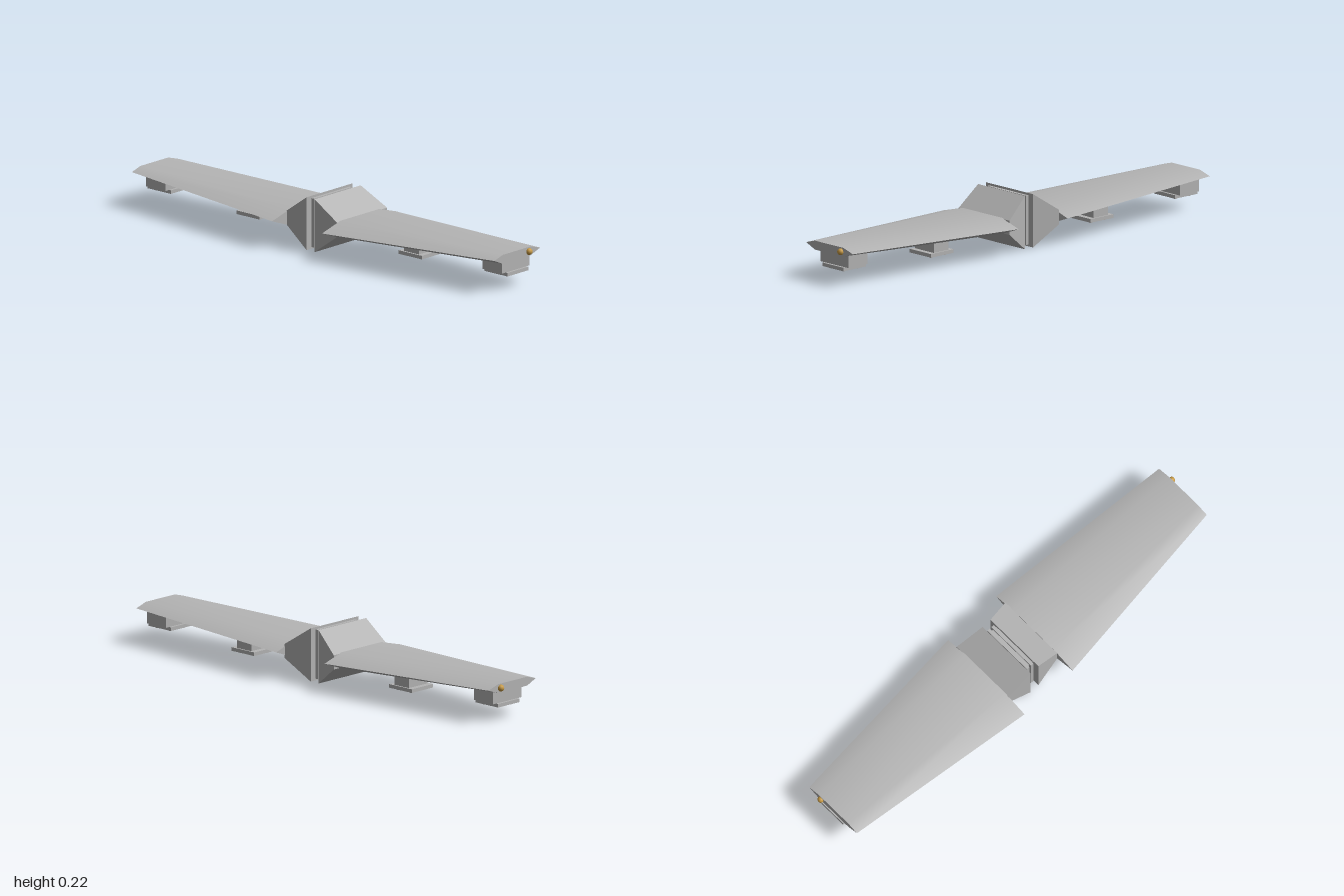
import * as THREE from 'three';
import { mergeGeometries } from 'three/addons/utils/BufferGeometryUtils.js';

// Surface between two rows of [y, z] points at xa and xb; smooth shares normals along the row.
function strip(a, xa, b, xb, smooth) {
  const flip = xa < 0, pos = [], idx = [], n = a.length;
  for (const [y, z] of a) pos.push(xa, y, z);
  for (const [y, z] of b) pos.push(xb, y, z);
  for (let i = 0; i < n - 1; i++) {
    const tris = [[i, i + 1, n + i + 1], [i, n + i + 1, n + i]];
    for (const [p, q, r] of tris) idx.push(p, ...(flip ? [r, q] : [q, r]));
  }
  const g = new THREE.BufferGeometry();
  g.setAttribute('position', new THREE.Float32BufferAttribute(pos, 3));
  g.setIndex(idx);
  const out = smooth ? g : g.toNonIndexed();
  out.computeVertexNormals();
  return smooth ? out.toNonIndexed() : out;
}

// Flat end of a ring; outward means facing away from the centre line.
function cap(ring, x, outward) {
  const pos = [];
  for (let i = 1; i < ring.length - 1; i++) {
    const tri = [ring[0], ring[i], ring[i + 1]];
    if (outward !== x > 0) tri.reverse();
    for (const [y, z] of tri) pos.push(x, y, z);
  }
  const g = new THREE.BufferGeometry();
  g.setAttribute('position', new THREE.Float32BufferAttribute(pos, 3));
  g.computeVertexNormals();
  return g;
}

export function createModel() {
  const model = new THREE.Group();
  model.name = 'wingAssembly';
  const grey = new THREE.MeshStandardMaterial({ color: 0xb4b4b4 });
  grey.name = 'hull grey';
  const gold = new THREE.MeshStandardMaterial({ color: 0xc89b45 });
  gold.name = 'lamp gold';

  function add(parent, name, geometry, material = grey) {
    const m = new THREE.Mesh(geometry, material);
    m.name = name;
    parent.add(m);
    return m;
  }
  function box(parent, name, x0, x1, y0, y1, z0, z1) {
    add(parent, name, new THREE.BoxGeometry(x1 - x0, y1 - y0, z1 - z0))
      .position.set((x0 + x1) / 2, (y0 + y1) / 2, (z0 + z1) / 2);
  }

  // Rings run from the trailing edge over the top to the leading edge, then back below.
  const root = [[0.12, -0.222], [0.15, -0.125], [0.15, 0.11], [0.12, 0.222], [0.088, 0.137], [0.088, -0.137]];
  const tip = [[0.143, -0.152], [0.16, -0.095], [0.16, 0.074], [0.145, 0.125], [0.123, 0.074], [0.123, -0.095]];
  const hubInner = [[0.225, -0.138], [0.225, 0.14], [0.003, 0.14], [0.003, -0.138]];
  const hubOuter = [[0.146, -0.17], [0.146, 0.132], [0.087, 0.132], [0.087, -0.17]];

  for (const s of [1, -1]) {
    const side = new THREE.Group();
    side.name = s > 0 ? 'leftSide' : 'rightSide';
    model.add(side);

    // Tapered wing with a softly shaded skin and flat ends
    const xr = s * 0.135, xt = s * 0.983;
    const under = r => [r[3], r[4], r[5], r[0]];
    add(side, 'wing', mergeGeometries([
      strip(root.slice(0, 4), xr, tip.slice(0, 4), xt, true),
      strip(under(root), xr, under(tip), xt, true),
      cap(root, xr, false),
      cap(tip, xt, true),
    ]));

    // Wedge-shaped hub block
    const xi = s * 0.022, xo = s * 0.137;
    const loop = r => [...r, r[0]];
    add(side, 'hubBlock', mergeGeometries([
      strip(loop(hubInner), xi, loop(hubOuter), xo, false),
      cap(hubInner, xi, false),
      cap(hubOuter, xo, true),
    ]));

    // Joint plate
    box(side, 'jointPlate', ...[s * 0.004, s * 0.018].sort((a, b) => a - b), 0.012, 0.217, -0.115, 0.115);

    // Wing-tip lamp
    add(side, 'tipLamp', new THREE.SphereGeometry(0.014, 10, 8), gold).position.set(s * 0.986, 0.142, -0.082);

    // Pods: pylon, plate and four studs
    const pods = [
      { name: 'innerPod', x: 0.44, w: 0.04, z0: -0.09, z1: 0.02, top: 0.12, y: 0.055, p0: -0.097, p1: 0.028 },
      { name: 'outerPod', x: 0.913, w: 0.053, z0: -0.107, z1: 0.059, top: 0.14, y: 0.075, p0: -0.088, p1: 0.037 },
    ];
    for (const p of pods) {
      const pod = new THREE.Group();
      pod.name = p.name;
      pod.position.x = s * p.x;
      side.add(pod);
      box(pod, 'pylon', -p.w, p.w, p.y, p.top, p.z0, p.z1);
      box(pod, 'plate', -0.063, 0.063, p.y - 0.015, p.y, p.p0, p.p1);
      const zc = (p.p0 + p.p1) / 2;
      for (const dx of [-0.037, 0.037]) for (const dz of [-0.037, 0.037]) {
        add(pod, 'stud', new THREE.CylinderGeometry(0.006, 0.006, 0.01, 8))
          .position.set(dx, p.y - 0.018, zc + dz);
      }
    }
  }

  // Recessed core between the joint plates
  box(model, 'jointCore', -0.022, 0.022, 0.02, 0.208, -0.105, 0.105);
  return model;
}
